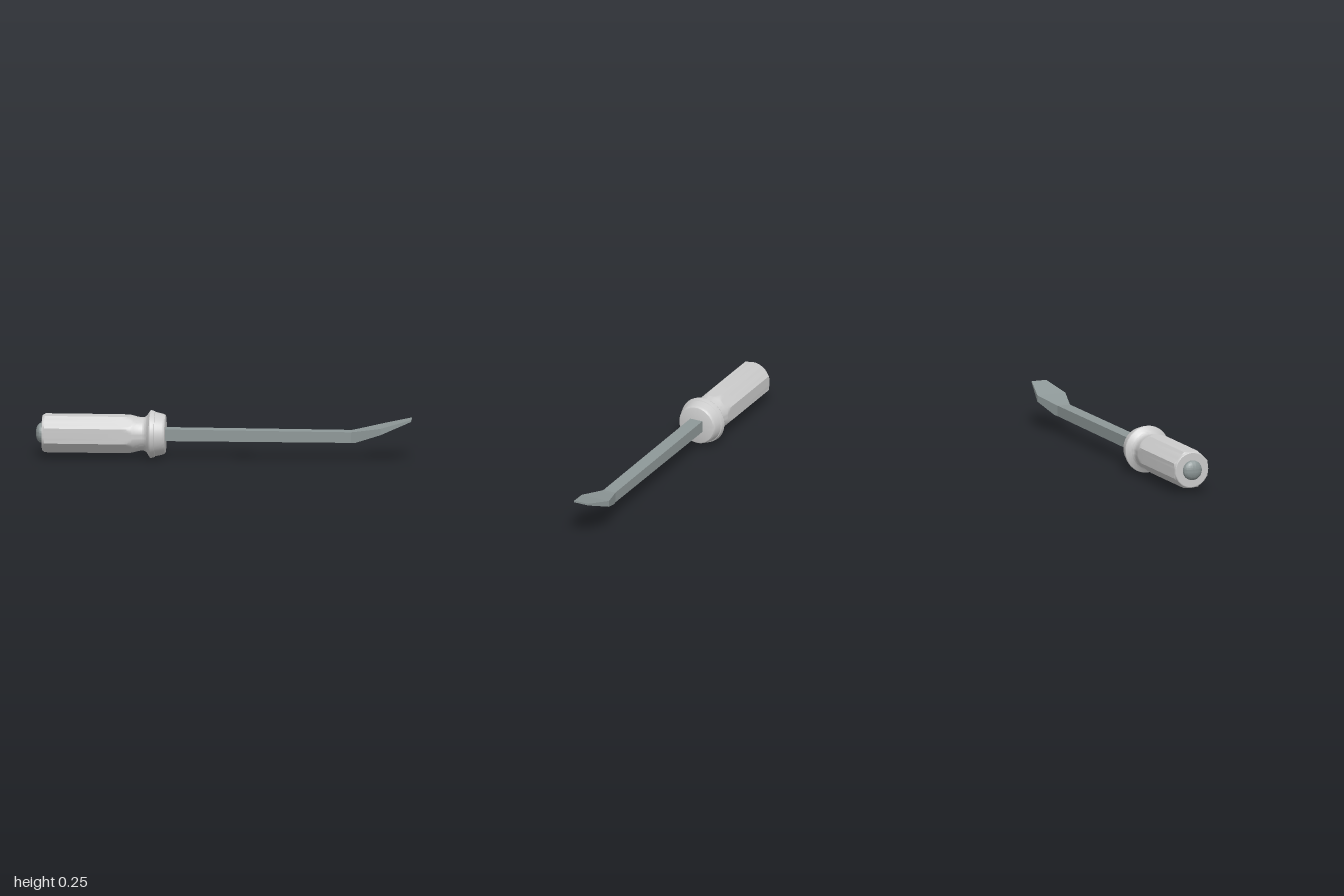
import * as THREE from 'three';
import { toCreasedNormals } from 'three/addons/utils/BufferGeometryUtils.js';

const AXIS_Y = 0.128;
const v2 = (x, r) => new THREE.Vector2(r, x);

// Turn a profile of (x, radius) points around the x axis, optionally trimmed to eight flats
function turned(points, flatRadius) {
  const geo = new THREE.LatheGeometry(points, 64);
  if (flatRadius) {
    const p = geo.attributes.position;
    for (let i = 0; i < p.count; i++) {
      const x = p.getX(i), z = p.getZ(i), r = Math.hypot(x, z);
      if (r < 1e-6 || p.getY(i) > -0.43) continue;
      const step = Math.PI / 4;
      const a = Math.atan2(z, x);
      const off = a - Math.round(a / step) * step;
      const k = Math.min(1, flatRadius / Math.cos(off) / r);
      p.setX(i, x * k);
      p.setZ(i, z * k);
    }
  }
  geo.rotateZ(-Math.PI / 2);
  return toCreasedNormals(geo, 0.42);
}

// Join rectangular sections [x, bottom, top, halfWidth] into a closed bar
function barFromSections(sections) {
  const pos = [], idx = [];
  for (const [x, b, t, w] of sections) pos.push(x, b, w, x, b, -w, x, t, -w, x, t, w);
  const n = sections.length;
  for (let s = 0; s < n - 1; s++) {
    for (let k = 0; k < 4; k++) {
      const a = s * 4 + k, b = s * 4 + (k + 1) % 4;
      idx.push(a, b, b + 4, a, b + 4, a + 4);
    }
  }
  const e = (n - 1) * 4;
  idx.push(0, 2, 1, 0, 3, 2, e, e + 1, e + 2, e, e + 2, e + 3);
  const geo = new THREE.BufferGeometry();
  geo.setAttribute('position', new THREE.Float32BufferAttribute(pos, 3));
  geo.setIndex(idx);
  const flat = geo.toNonIndexed();
  flat.computeVertexNormals();
  return flat;
}

export function createModel() {
  const model = new THREE.Group();
  const gripMat = new THREE.MeshStandardMaterial({ color: 0xcccccc });
  const steelMat = new THREE.MeshStandardMaterial({ color: 0x8e9898 });
  const add = (name, geo, mat, y = 0) => {
    const mesh = new THREE.Mesh(geo, mat);
    mesh.name = name;
    mesh.position.y = y;
    model.add(mesh);
  };

  // Faceted grip narrowing into a round neck that flares to the collar
  const neck = new THREE.SplineCurve([
    v2(-0.54, 0.106), v2(-0.5, 0.103), v2(-0.46, 0.093), v2(-0.43, 0.0885),
    v2(-0.412, 0.096), v2(-0.398, 0.115), v2(-0.392, 0.125),
  ]).getPoints(40);
  const grip = [
    v2(-0.965, 0), v2(-0.965, 0.092), v2(-0.963, 0.096), v2(-0.958, 0.098),
    v2(-0.95, 0.106), ...neck,
    v2(-0.388, 0.127), v2(-0.383, 0.1265), v2(-0.366, 0.122),
    v2(-0.364, 0.118), v2(-0.325, 0.109), v2(-0.316, 0.106), v2(-0.311, 0.102),
    v2(-0.309, 0.097), v2(-0.309, 0),
  ];
  add('handle', turned(grip, 0.098), gripMat, AXIS_Y);

  // Domed steel strike cap on the butt end
  const cap = [v2(-1, 0)];
  for (let i = 1; i <= 14; i++) {
    const a = (i / 14) * Math.PI / 2;
    cap.push(v2(-0.972 - 0.028 * Math.cos(a), 0.053 * Math.sin(a)));
  }
  cap.push(v2(-0.96, 0.053));
  add('strikeCap', turned(cap), steelMat, AXIS_Y);

  // Square shaft bending up into a flared, tapered pry tip
  add('shaftAndTip', barFromSections([
    [-0.33, 0.097, 0.16, 0.036],
    [0.68, 0.1, 0.157, 0.036],
    [0.705, 0.102, 0.161, 0.043],
    [0.84, 0.152, 0.186, 0.082],
    [1, 0.218, 0.228, 0.042],
  ]), steelMat);

  return model;
}
